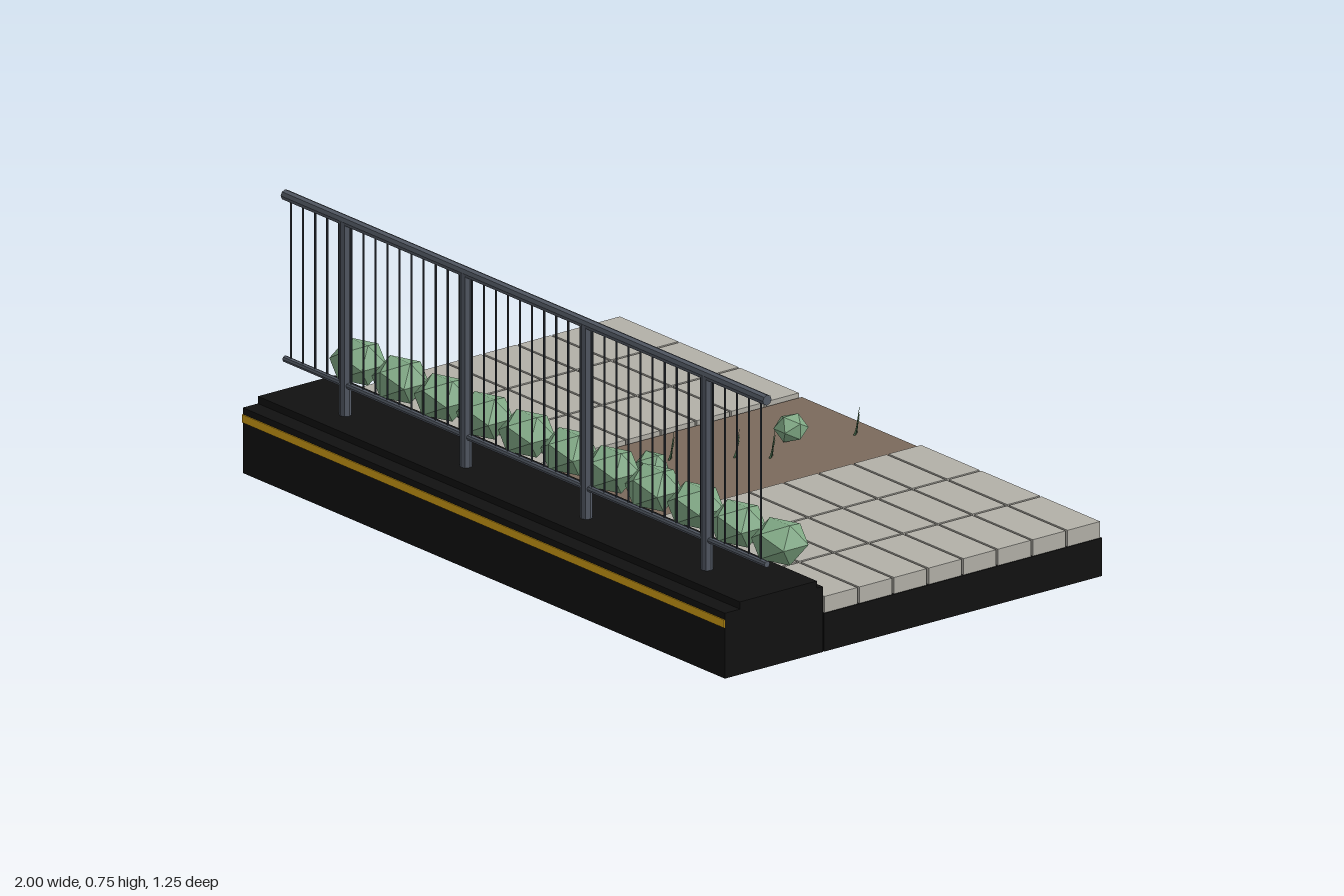
import * as THREE from 'three';

const mat = (name, color, flatShading = false) => {
  const m = new THREE.MeshStandardMaterial({ color, flatShading });
  m.name = name;
  return m;
};

export function createModel() {
  const model = new THREE.Group();
  model.name = 'walkwaySection';

  const asphalt = mat('asphaltBlack', 0x111111);
  const stone = mat('pavingStone', 0xb2b0a8);
  const earth = mat('soilBrown', 0x7b6a5c);
  const paint = mat('stripeYellow', 0xd4a017);
  const steel = mat('railSteel', 0x545b66, true);
  const darkSteel = mat('balusterSteel', 0x3a4048, true);
  const leaf = mat('bushGreen', 0x80a985, true);
  const grass = mat('grassGreen', 0x4a6b4c, true);

  const group = (name) => {
    const g = new THREE.Group();
    g.name = name;
    model.add(g);
    return g;
  };
  const add = (parent, name, geometry, material, x, y, z) => {
    const m = new THREE.Mesh(geometry, material);
    m.name = name;
    m.position.set(x, y, z);
    parent.add(m);
    return m;
  };
  // Box given by its low and high corners
  const block = (parent, name, material, [x0, y0, z0], [x1, y1, z1]) =>
    add(parent, name, new THREE.BoxGeometry(x1 - x0, y1 - y0, z1 - z0), material,
      (x0 + x1) / 2, (y0 + y1) / 2, (z0 + z1) / 2);

  // Base slab, kerb wall with its cap, and painted stripe
  block(model, 'baseSlab', asphalt, [-1, 0, -0.625], [1, 0.105, 0.296]);
  block(model, 'kerbWall', asphalt, [-1, 0, 0.3], [1, 0.18, 0.625]);
  block(model, 'kerbCap', asphalt, [-1, 0.18, 0.32], [1, 0.2, 0.575]);
  block(model, 'kerbStripe', paint, [-1, 0.14, 0.625], [1, 0.162, 0.628]);

  // Soil strip between two fields of paving
  block(model, 'soilStrip', earth, [-0.246, 0.105, -0.625], [0.246, 0.14, 0.296]);
  const paving = group('paving');
  const pitch = 0.115;
  const tile = new THREE.BoxGeometry(0.243, 0.045, pitch - 0.007);
  for (const side of [-1, 1])
    for (let col = 0; col < 3; col++)
      for (let row = 0; row < 8; row++)
        add(paving, 'pavingTile', tile, stone,
          side * (0.375 + col * 0.25), 0.1275, -0.625 + (row + 0.5) * pitch);

  // Railing: posts, two rails and balusters
  const railing = group('railing');
  const railZ = 0.485;
  const post = new THREE.CylinderGeometry(0.0165, 0.0165, 0.535, 8);
  for (const x of [-0.75, -0.25, 0.25, 0.75]) add(railing, 'post', post, steel, x, 0.4675, railZ);
  const rail = (name, radius, y) => {
    const g = new THREE.CylinderGeometry(radius, radius, 2, 8).rotateZ(Math.PI / 2);
    add(railing, name, g, steel, 0, y, railZ);
  };
  rail('topRail', 0.0145, 0.735);
  rail('bottomRail', 0.009, 0.283);
  const baluster = new THREE.CylinderGeometry(0.003, 0.003, 0.452, 6);
  for (let i = 0; i < 40; i++)
    add(railing, 'baluster', baluster, darkSteel, -0.975 + i * 0.05, 0.509, railZ);

  // Row of bushes behind the railing
  const hedge = group('hedge');
  const bush = new THREE.IcosahedronGeometry(0.079, 0).scale(1, 0.82, 1);
  for (let i = -5; i <= 5; i++) add(hedge, 'bush', bush, leaf, i * 0.175, 0.279, 0.343);

  // Small shrubs and grass tufts in the soil
  const weeds = group('weeds');
  const shrub = new THREE.IcosahedronGeometry(0.046, 0).scale(1, 0.88, 1);
  add(weeds, 'shrub', shrub, leaf, -0.005, 0.176, 0.065);
  add(weeds, 'shrub', shrub, leaf, -0.003, 0.176, -0.395).rotation.y = Math.PI / 2;

  const blade = new THREE.ConeGeometry(0.004, 1, 4).translate(0, 0.5, 0);
  const tufts = [[-0.02, 0.218], [-0.09, -0.063], [-0.045, -0.138],
    [0, -0.208], [0.06, -0.278], [0.06, -0.558]];
  for (const [x, z] of tufts) {
    const tuft = new THREE.Group();
    tuft.name = 'grassTuft';
    tuft.position.set(x, 0.138, z);
    weeds.add(tuft);
    for (let i = -1; i <= 1; i++) {
      const b = add(tuft, 'blade', blade, grass, i * 0.005, 0, i * 0.007);
      b.scale.y = 0.066 - i * 0.012;
      b.rotation.set(-0.25, 0, -i * 0.12);
    }
  }
  return model;
}
